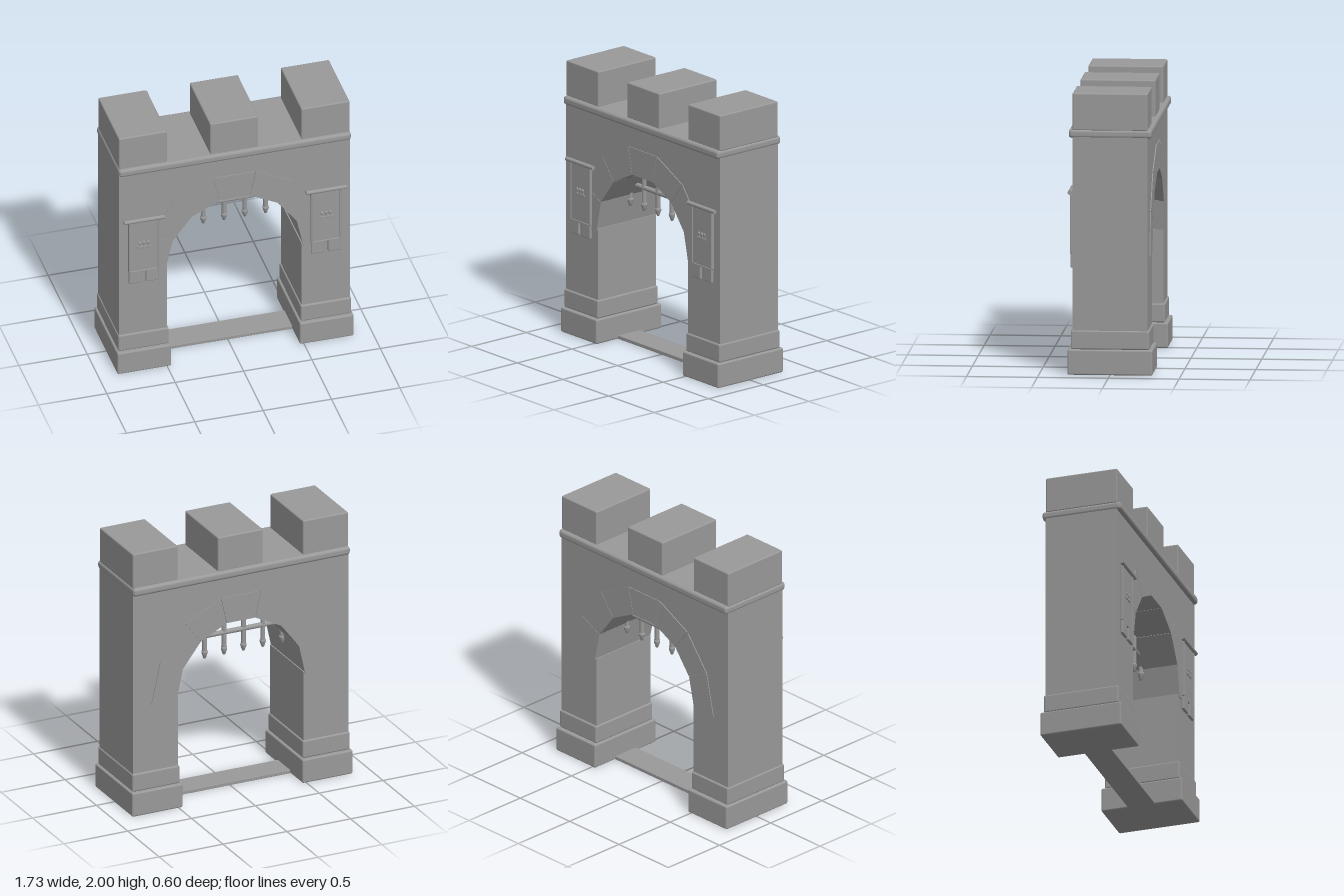
import * as THREE from 'three';
import { RoundedBoxGeometry } from 'three/addons/geometries/RoundedBoxGeometry.js';

export function createModel() {
  const group = new THREE.Group();
  const stone = new THREE.MeshStandardMaterial({ color: 0x999999 });
  stone.name = 'grey stone';

  const add = (name, geometry, x = 0, y = 0, z = 0, parent = group) => {
    const mesh = new THREE.Mesh(geometry, stone);
    mesh.name = name;
    mesh.position.set(x, y, z);
    parent.add(mesh);
    return mesh;
  };
  // Rounded block given by its lower and upper height
  const block = (name, x, y0, y1, w, d, r = 0.01, z = 0, parent = group) =>
    add(name, new RoundedBoxGeometry(w, y1 - y0, d, 2, r), x, (y0 + y1) / 2, z, parent);
  const slab = (name, shape, depth) => {
    const geo = new THREE.ExtrudeGeometry(shape, { depth, bevelEnabled: false, curveSegments: 32 });
    geo.translate(0, 0, -depth / 2);
    return add(name, geo);
  };

  // Both pillars and the wall over the arch
  const springY = 0.82, rise = 1.045;
  const wall = new THREE.Shape();
  wall.moveTo(-0.845, 0.3);
  wall.lineTo(-0.492, 0.3);
  wall.lineTo(-0.492, springY + 0.02);
  wall.absellipse(0, springY + 0.02, 0.503, 0.503 * rise, Math.PI, 0, true);
  wall.lineTo(0.492, springY + 0.02);
  wall.lineTo(0.492, 0.3);
  wall.lineTo(0.845, 0.3);
  wall.lineTo(0.845, 1.7);
  wall.lineTo(-0.845, 1.7);
  slab('archWall', wall, 0.53);

  // Plinths
  for (const s of [-1, 1]) {
    block('plinthLower', s * 0.667, 0, 0.18, 0.395, 0.6, 0.012);
    block('plinthUpper', s * 0.667, 0.18, 0.315, 0.37, 0.555, 0.012);
  }
  block('threshold', 0, 0, 0.026, 0.98, 0.2, 0.004);

  // Coping and battlements
  block('coping', 0, 1.68, 1.742, 1.7, 0.585, 0.022);
  for (const x of [-0.667, 0, 0.667]) block('merlon', x, 1.735, 2, 0.354, 0.53);

  // Seven wedge stones of the arch
  const count = 7, half = Math.PI / count / 2, inner = 0.492, outer = 0.682;
  for (let i = 0; i < count; i++) {
    const a = (2 * i + 1) * half;
    const corner = (r, side) => {
      const t = r * Math.tan(half * 0.99) * side;
      return new THREE.Vector2(
        r * Math.cos(a) - t * Math.sin(a),
        springY + (r * Math.sin(a) + t * Math.cos(a)) * rise);
    };
    slab('archStone', new THREE.Shape(
      [corner(inner, -1), corner(outer, -1), corner(outer, 1), corner(inner, 1)]), 0.543);
  }

  // Portcullis
  const portcullis = new THREE.Group();
  portcullis.name = 'portcullis';
  group.add(portcullis);
  const crossBar = add('crossBar', new THREE.CylinderGeometry(0.018, 0.018, 0.96, 16), 0, 1.137, 0, portcullis);
  crossBar.rotation.z = Math.PI / 2;
  for (let i = -3; i <= 3; i++) {
    const x = i * 0.152;
    const top = springY + Math.sqrt(0.55 ** 2 - x * x) * rise;
    add('bar', new THREE.CylinderGeometry(0.017, 0.017, top - 1.02, 16), x, (top + 1.02) / 2, 0, portcullis);
    const spike = [[0, 0.965], [0.009, 0.968], [0.023, 1.01], [0.021, 1.025], [0, 1.03]];
    add('spike', new THREE.LatheGeometry(spike.map(p => new THREE.Vector2(...p)), 16), x, 0, 0, portcullis);
  }

  // Hanging banners
  for (const s of [-1, 1]) {
    const banner = new THREE.Group();
    banner.name = s > 0 ? 'leftBanner' : 'rightBanner';
    banner.position.set(s * 0.666, 0, 0);
    group.add(banner);
    const rod = add('bannerRod', new THREE.CylinderGeometry(0.015, 0.015, 0.295, 16), 0, 1.287, 0.287, banner);
    rod.rotation.z = Math.PI / 2;
    block('bannerCloth', 0, 0.85, 1.28, 0.21, 0.02, 0.004, 0.273, banner);
    for (const side of [-1, 1]) {
      block('bannerEdge', side * 0.105, 0.85, 1.275, 0.014, 0.026, 0.005, 0.276, banner);
      block('bannerTail', side * 0.062, 0.75, 0.855, 0.095, 0.022, 0.008, 0.276, banner);
    }
    block('bannerHem', 0, 0.843, 0.857, 0.21, 0.024, 0.004, 0.275, banner);
    // Raised ornament: a bar with three studs
    block('ornamentBar', 0, 1.048, 1.062, 0.1, 0.01, 0.003, 0.284, banner);
    for (let i = -1; i <= 1; i++) {
      block('ornamentStem', i * 0.03, 1.06, 1.085, 0.016, 0.008, 0.003, 0.284, banner);
      add('ornamentStud', new THREE.SphereGeometry(0.012, 12, 8), i * 0.03, 1.09, 0.282, banner);
    }
  }
  return group;
}
